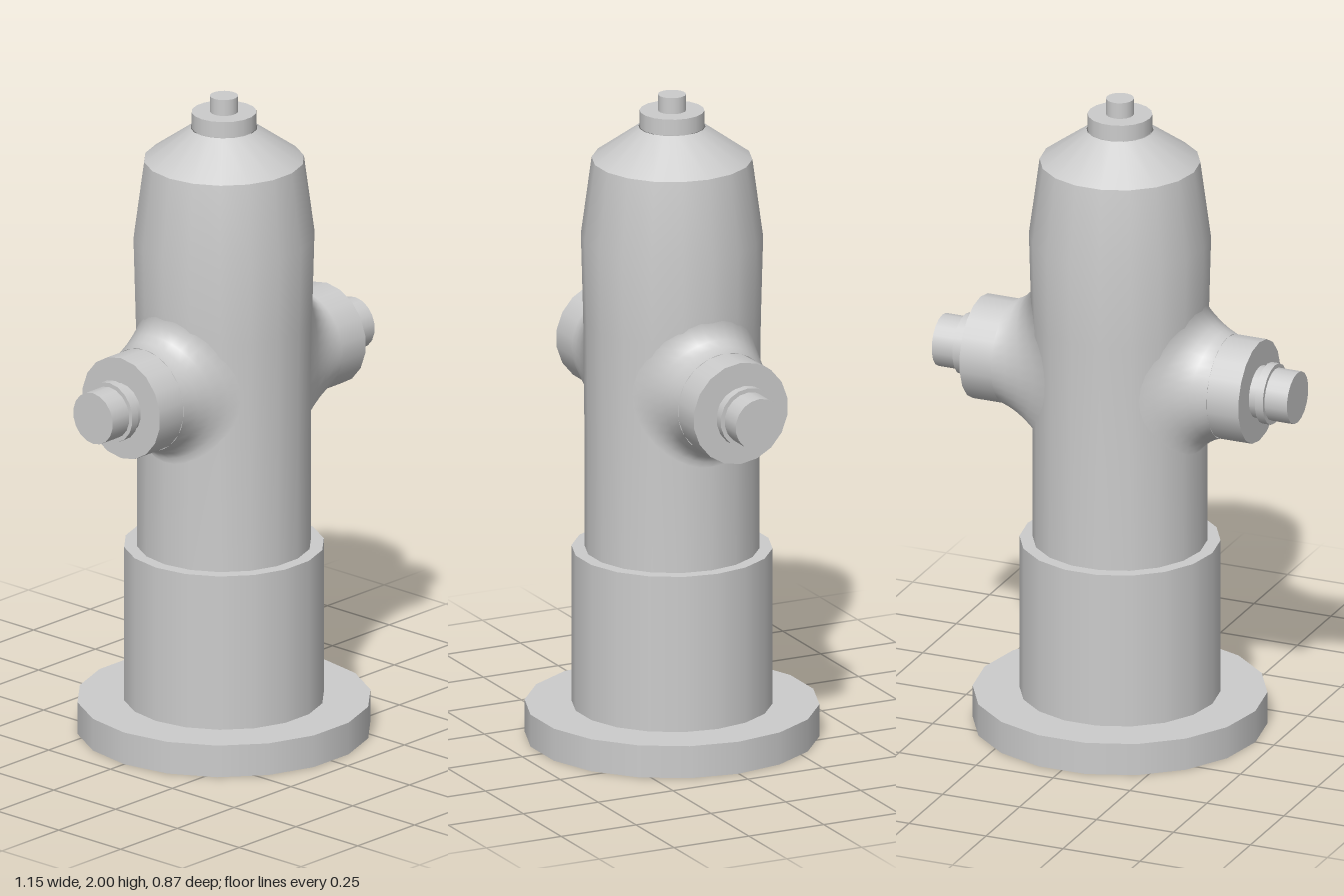
import * as THREE from 'three';

const SIDES = 18;
const ARM_Y = 1.13;
const ARM_R = 0.158;
const material = new THREE.MeshStandardMaterial({ color: 0xcccccc, side: THREE.DoubleSide });

// Each profile is one smooth run of [radius, height]; separate profiles meet in sharp edges
function turned(name, profiles) {
  const group = new THREE.Group();
  group.name = name;
  for (const profile of profiles) {
    const points = profile.map(([r, h]) => new THREE.Vector2(r, h));
    const geometry = new THREE.LatheGeometry(points, SIDES, Math.PI / 2);
    const mesh = new THREE.Mesh(geometry, material);
    mesh.name = name + 'Surface';
    group.add(mesh);
  }
  return group;
}

// Straight-sided disc with a flat top (and optional flat underside)
function drum(name, r, y0, y1, inner = 0) {
  const profiles = [[[r, y0], [r, y1]], [[r, y1], [0, y1]]];
  if (inner < r) profiles.push([[inner, y0], [r, y0]]);
  return turned(name, profiles);
}

// Fillet that blends the barrel wall into the round side arm
function flareGeometry() {
  const positions = [], normals = [], index = [];
  const count = 36, rings = 4, wall = 0.257;
  const normal = new THREE.Vector3();
  for (let j = 0; j <= rings; j++) {
    const t = j / rings;
    for (let i = 0; i <= count; i++) {
      const a = (i / count) * Math.PI * 2;
      const c = Math.cos(a), s = Math.sin(a);
      const z0 = 0.212 * s, x0 = Math.sqrt(wall * wall - z0 * z0);
      const y0 = (c > 0 ? 0.24 : 0.225) * c;
      const sag = 0.012 * Math.sin(Math.PI * t);
      positions.push(
        x0 + (0.35 - x0) * t,
        y0 + (ARM_R * c - y0) * t - sag * c,
        z0 + (ARM_R * s - z0) * t
      );
      normal.set((x0 / wall) * (1 - t), c * t, (z0 / wall) * (1 - t) + s * t).normalize();
      normals.push(normal.x, normal.y, normal.z);
      if (j < rings && i < count) {
        const p = j * (count + 1) + i, q = p + count + 1;
        index.push(p, p + 1, q, p + 1, q + 1, q);
      }
    }
  }
  const geometry = new THREE.BufferGeometry();
  geometry.setAttribute('position', new THREE.Float32BufferAttribute(positions, 3));
  geometry.setAttribute('normal', new THREE.Float32BufferAttribute(normals, 3));
  geometry.setIndex(index);
  return geometry;
}

// Side arm pointing along +x
function outlet(name) {
  const group = new THREE.Group();
  group.name = name;
  const flare = new THREE.Mesh(flareGeometry(), material);
  flare.name = 'outletFlare';
  const turnedParts = new THREE.Group();
  turnedParts.name = 'outletNozzle';
  turnedParts.rotation.z = -Math.PI / 2;
  turnedParts.add(
    drum('outletArm', ARM_R, 0.35, 0.453, ARM_R),
    drum('outletStub', 0.08, 0.453, 0.577, 0.08),
    drum('outletRing', 0.093, 0.478, 0.504)
  );
  group.add(flare, turnedParts);
  group.position.y = ARM_Y;
  return group;
}

export function createModel() {
  const model = new THREE.Group();
  model.name = 'fireHydrant';

  // Hollow foot flange, open underneath
  model.add(turned('baseFlange', [
    [[0.3, 0], [0.44, 0]],
    [[0.44, 0], [0.44, 0.1]],
    [[0.44, 0.1], [0.3, 0.1]],
  ]));

  // Lower sleeve with its step
  model.add(turned('lowerSleeve', [
    [[0.3, 0.1], [0.3, 0.585]],
    [[0.3, 0.585], [0.261, 0.585]],
  ]));

  // Barrel, swelling a little before the shoulder
  model.add(turned('barrel', [
    [[0.261, 0.585], [0.261, 0.92], [0.265, 1.3], [0.272, 1.56], [0.24, 1.8]],
  ]));

  // Conical bonnet, collar and operating nut
  model.add(turned('bonnet', [[[0.24, 1.8], [0.1, 1.9]]]));
  model.add(drum('bonnetCollar', 0.097, 1.9, 1.95, 0.097));
  model.add(drum('operatingNut', 0.042, 1.95, 2, 0.042));

  // Two opposite outlets
  const left = outlet('leftOutlet');
  const right = outlet('rightOutlet');
  right.rotation.y = Math.PI;
  model.add(left, right);

  return model;
}
